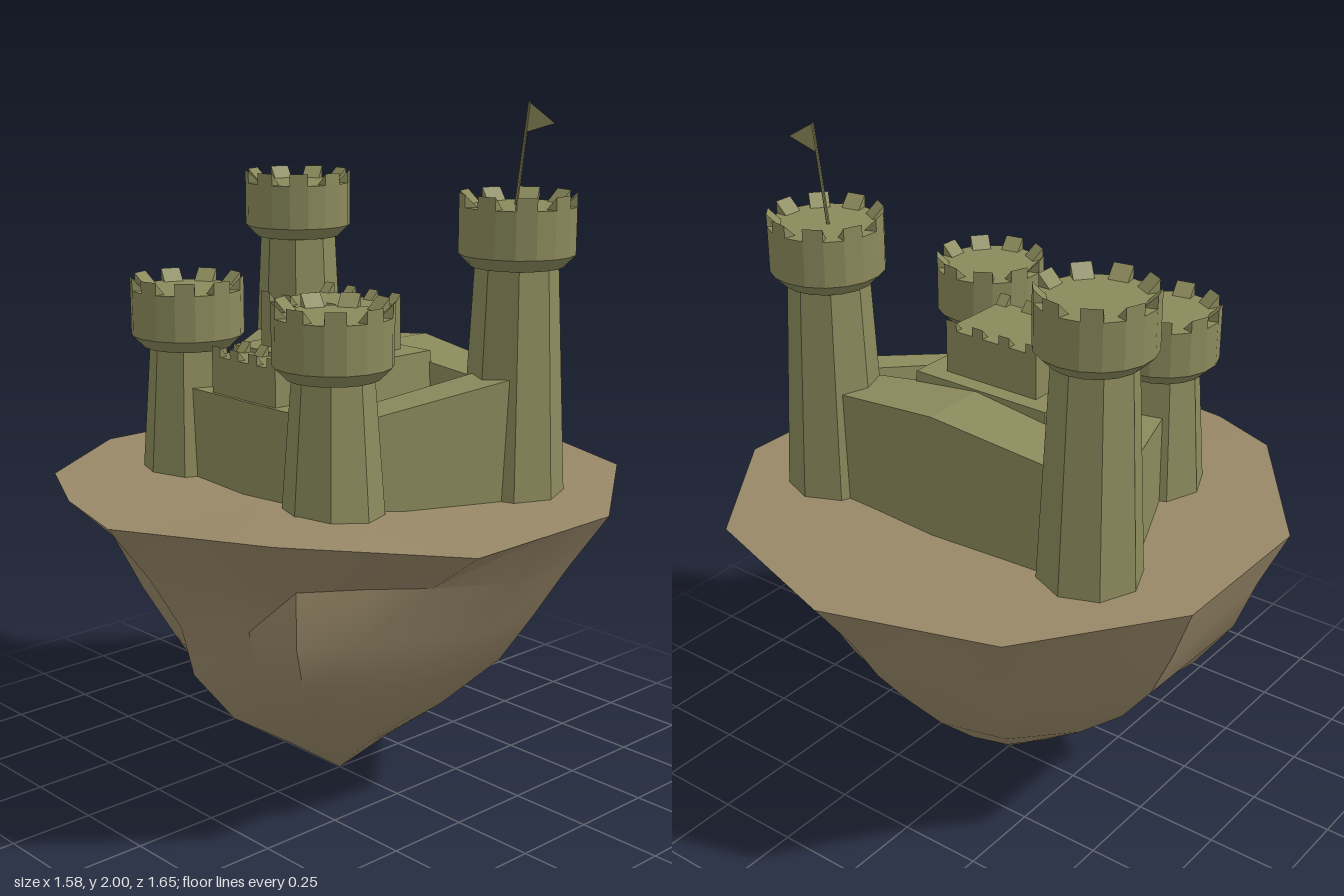
import * as THREE from 'three';
import { toCreasedNormals } from 'three/addons/utils/BufferGeometryUtils.js';
import { ConvexGeometry } from 'three/addons/geometries/ConvexGeometry.js';

const stone = new THREE.MeshStandardMaterial({ color: 0x8b8a5c, flatShading: true });
const earth = new THREE.MeshStandardMaterial({ color: 0x988868 });
const cloth = new THREE.MeshStandardMaterial({ color: 0x8b8a5c, side: THREE.DoubleSide });
const BASE = 0.92;

function add(parent, name, geometry, material = stone, x = 0, y = 0, z = 0) {
  const mesh = new THREE.Mesh(geometry, material);
  mesh.name = name;
  mesh.position.set(x, y, z);
  parent.add(mesh);
  return mesh;
}

// Tapered floating rock: ten radii per ring (from the back, round by +x), halved by midpoints
function buildRock(group) {
  const N = 20;
  const rimY = [0.93, 0.93, 0.92, 0.915, 0.96, 0.93, 0.955, 0.93, 0.93, 0.93];
  const rings = [
    [0.93, [0.83, 0.83, 0.83, 0.83, 0.82, 0.82, 0.82, 0.83, 0.83, 0.83]],
    [0.76, [0.70, 0.68, 0.72, 0.70, 0.64, 0.69, 0.66, 0.75, 0.76, 0.70]],
    [0.60, [0.60, 0.57, 0.62, 0.62, 0.58, 0.59, 0.58, 0.69, 0.68, 0.59]],
    [0.45, [0.48, 0.48, 0.52, 0.52, 0.50, 0.55, 0.49, 0.58, 0.56, 0.48]],
    [0.28, [0.33, 0.33, 0.34, 0.34, 0.34, 0.41, 0.38, 0.39, 0.37, 0.34]],
    [0.14, [0.18, 0.19, 0.16, 0.17, 0.19, 0.20, 0.19, 0.20, 0.19, 0.18]],
  ];
  // Hollows, crevices and one rim corner: segment, ring, scale
  const dents = [[11, 0, 1.04], [6, 1, 0.84], [7, 1, 0.86], [8, 1, 0.91], [6, 2, 0.88], [7, 2, 0.94], [6, 3, 0.94],
    [11, 1, 0.87], [11, 2, 0.92], [11, 3, 0.95], [9, 1, 0.96], [9, 2, 0.9], [9, 3, 0.9],
    [3, 1, 0.95], [3, 2, 0.93], [1, 2, 0.95], [15, 3, 0.9], [13, 4, 0.92], [18, 2, 0.96]];
  const points = rings.map(([y, radii], i) => {
    const corner = (k) => {
      const a = k * Math.PI / 5, r = radii[k % 10];
      return new THREE.Vector3(r * Math.sin(a), i ? y : rimY[k % 10], -r * Math.cos(a));
    };
    return Array.from({ length: N }, (_, k) => {
      const p = corner(k >> 1);
      if (k % 2) p.lerp(corner((k >> 1) + 1), 0.5);
      const dent = dents.find((d) => d[0] === k && d[1] === i);
      if (dent) p.set(p.x * dent[2], p.y, p.z * dent[2]);
      return p;
    });
  });
  const side = [], cap = [];
  const tri = (out, ...ps) => ps.forEach((p) => out.push(p.x, p.y, p.z));
  const tip = new THREE.Vector3(0, 0, 0), middle = new THREE.Vector3(0, 0.94, 0);
  for (let k = 0; k < N; k++) {
    const n = (k + 1) % N;
    tri(cap, middle, points[0][n], points[0][k]);
    for (let i = 0; i < points.length - 1; i++) {
      const a = points[i][k], b = points[i][n], c = points[i + 1][n], d = points[i + 1][k];
      tri(side, a, b, c);
      tri(side, a, c, d);
    }
    tri(side, points.at(-1)[k], points.at(-1)[n], tip);
  }
  for (const [name, data, crease] of [['rockUnderside', side, 0.55], ['rockTop', cap, 0.3]]) {
    const g = new THREE.BufferGeometry();
    g.setAttribute('position', new THREE.Float32BufferAttribute(data, 3));
    g.computeVertexNormals();
    add(group, name, toCreasedNormals(g, crease), earth);
  }
}

// Wedge merlon: upright outer face at z = 0, sloping inwards to -z
function merlonGeometry(width, height, depth) {
  const profile = new THREE.Shape([new THREE.Vector2(0, 0), new THREE.Vector2(depth, 0), new THREE.Vector2(0, height)]);
  return new THREE.ExtrudeGeometry(profile, { depth: width, bevelEnabled: false })
    .translate(0, 0, -width / 2).rotateY(Math.PI / 2);
}

// Octagonal tower with flared, crenellated head; top is the height of the merlons
function buildTower(name, x, z, top, footRadius, neckRadius) {
  const tower = new THREE.Group();
  tower.name = name;
  tower.position.set(x, 0, z);
  const neck = top - 0.2, floor = top - 0.035;
  const tube = (part, r0, r1, y0, y1, n) =>
    add(tower, part, new THREE.CylinderGeometry(r1, r0, y1 - y0, n), stone, 0, (y0 + y1) / 2, 0);
  tube('towerShaft', footRadius, neckRadius, BASE, neck + 0.01, 8);
  tube('towerCorbel', 0.127, 0.162, neck, neck + 0.035, 18);
  tube('towerHead', 0.162, 0.162, neck + 0.035, floor, 18);
  // Merlons on every other facet
  for (let i = 0; i < 9; i++) {
    const a = (i * 2 + 0.5) * Math.PI / 9, r = 0.162 * Math.cos(Math.PI / 18);
    const merlon = add(tower, 'towerMerlon', merlonGeometry(0.056, 0.035, 0.035), stone,
      r * Math.sin(a), floor, r * Math.cos(a));
    merlon.rotation.y = a;
  }
  return tower;
}

// Wall from its top outline; the foot spreads a little from the outline's centre
function wall(group, name, top, spread) {
  const c = top.reduce((s, p) => [s[0] + p[0] / top.length, s[1] + p[2] / top.length], [0, 0]);
  const pts = top.flatMap(([x, y, z]) => [
    new THREE.Vector3(x, y, z),
    new THREE.Vector3(c[0] + (x - c[0]) * spread, BASE, c[1] + (z - c[1]) * spread),
  ]);
  add(group, name, new ConvexGeometry(pts));
}

// Block with a row of wedge merlons along its front and back edges
function battlement(group, name, x0, x1, y0, y1, z0, z1) {
  add(group, name, new THREE.BoxGeometry(x1 - x0, y1 - y0, z1 - z0), stone,
    (x0 + x1) / 2, (y0 + y1) / 2, (z0 + z1) / 2);
  const width = 0.036, step = (x1 - x0 - width) / 3;
  for (let i = 0; i < 4; i++) {
    const x = x0 + width / 2 + i * step;
    add(group, name + 'Merlon', merlonGeometry(width, 0.028, 0.025), stone, x, y1, z1);
    add(group, name + 'Merlon', merlonGeometry(width, 0.028, 0.025), stone, x, y1, z0).rotation.y = Math.PI;
  }
}

export function createModel() {
  const model = new THREE.Group();
  model.name = 'floatingCastle';
  buildRock(model);

  // Four corner towers
  model.add(
    buildTower('frontRightTower', -0.318, 0.3, 1.505, 0.14, 0.11),
    buildTower('frontLeftTower', 0.3, 0.3, 1.505, 0.14, 0.11),
    buildTower('backRightTower', -0.463, -0.25, 1.76, 0.148, 0.115),
    buildTower('backLeftTower', 0.443, -0.25, 1.76, 0.148, 0.115),
  );

  // Curtain walls
  wall(model, 'backWall', [[-0.42, 1.25, -0.32], [0, 1.3, -0.35], [0.4, 1.25, -0.32],
    [0.4, 1.25, -0.16], [0, 1.3, -0.125], [-0.42, 1.25, -0.16]], 1.03);
  for (const [name, s, dx] of [['leftWall', 1, 0], ['rightWall', -1, -0.02]]) {
    wall(model, name, [[s * 0.25 + dx, 1.19, 0.22], [s * 0.36 + dx, 1.19, 0.22],
      [s * 0.525 + dx, 1.27, -0.17], [s * 0.39 + dx, 1.27, -0.17]], 1.08);
  }
  wall(model, 'frontWall', [[-0.3, 1.2, 0.36], [0.28, 1.2, 0.36], [0.28, 1.2, 0.235], [-0.3, 1.2, 0.235]], 1.05);

  // Gatehouse and keep
  battlement(model, 'gatehouse', -0.145, 0.125, 1.18, 1.305, 0.24, 0.35);
  wall(model, 'keepBase', [[-0.235, 1.305, -0.15], [0.215, 1.305, -0.15], [0.215, 1.305, 0.2], [-0.235, 1.305, 0.2]], 1.12);
  battlement(model, 'keep', -0.168, 0.145, 1.3, 1.435, -0.1, 0.15);

  // Leaning pole and pennant
  const pole = add(model, 'flagPole', new THREE.CylinderGeometry(0.004, 0.005, 0.29, 6), stone, 0.449, 1.857, -0.255);
  pole.rotation.z = -0.14;
  const pennant = new THREE.Shape([new THREE.Vector2(0.469, 2), new THREE.Vector2(0.459, 1.92), new THREE.Vector2(0.56, 1.948)]);
  add(model, 'flag', new THREE.ShapeGeometry(pennant), cloth, 0, 0, -0.255);

  return model;
}
